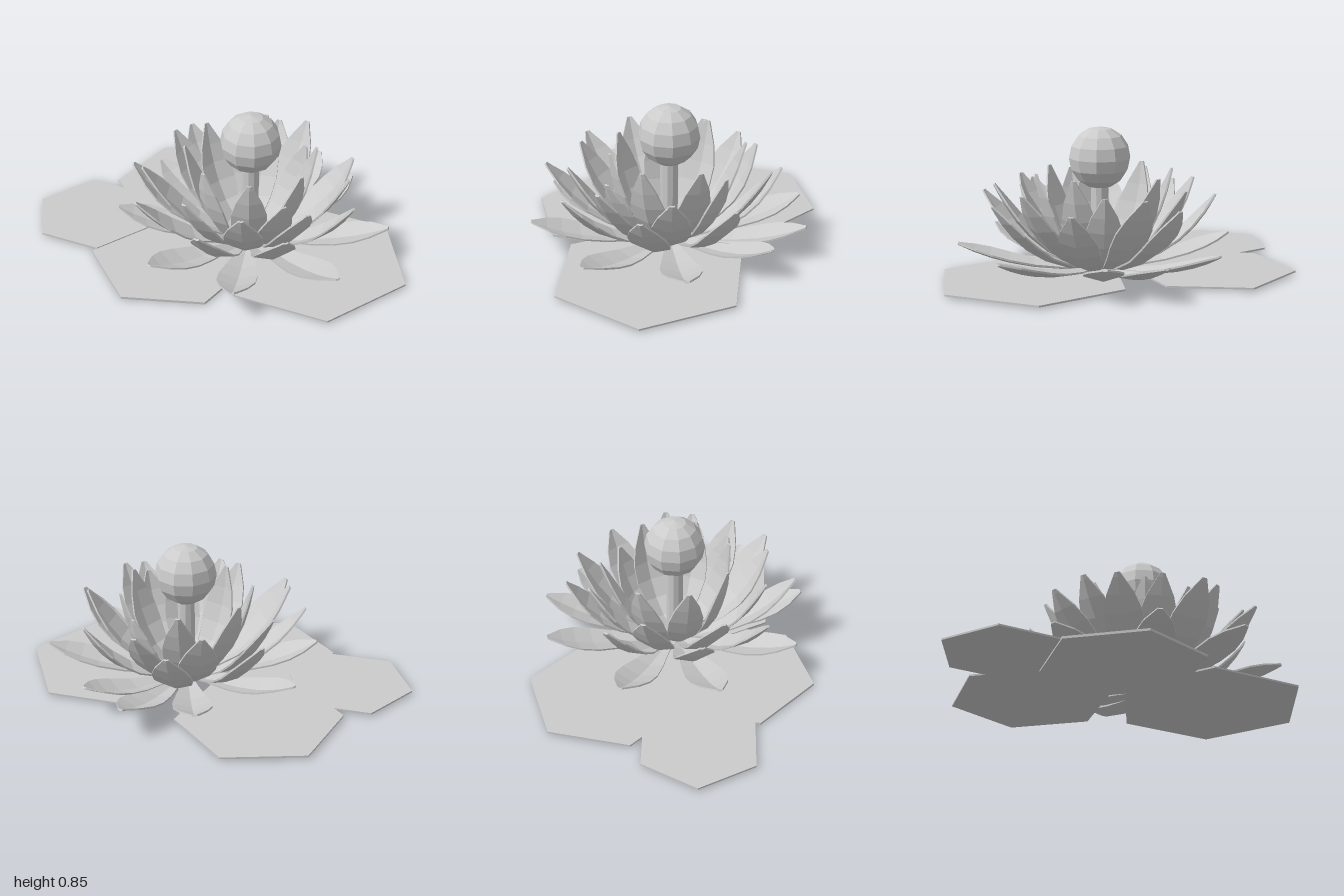
import * as THREE from 'three';

const material = new THREE.MeshStandardMaterial({ color: 0xcccccc, flatShading: true });

function add(parent, name, geometry, x = 0, y = 0, z = 0) {
  const mesh = new THREE.Mesh(geometry, material);
  mesh.name = name;
  mesh.position.set(x, y, z);
  parent.add(mesh);
  return mesh;
}

// Half-width of a petal along its length: [fraction of length, half-width]
const outline = [[0, 0.02], [0.2, 0.052], [0.4, 0.086], [0.58, 0.109], [0.73, 0.108], [0.86, 0.078], [0.97, 0.028], [1, 0.014]];
const THICK = 0.01;

// Thin, cupped petal along +x with a creased midrib, swept along a curve in the xy plane
function petalGeometry(reach, height, bendX, bendY, widthScale) {
  const curve = new THREE.QuadraticBezierCurve(
    new THREE.Vector2(0.03, 0.008), new THREE.Vector2(bendX, bendY), new THREE.Vector2(reach, height));
  const positions = [], index = [], n = 6;
  outline.forEach(([t, halfWidth]) => {
    const p = curve.getPoint(t), d = curve.getTangent(t), w = halfWidth * widthScale;
    const put = (side, lift) => positions.push(p.x - d.y * lift, p.y + d.x * lift, side);
    const cup = w * 0.28;
    [1, 0, -1].forEach(s => put(s * w, Math.abs(s) * cup + THICK));
    [-1, 0, 1].forEach(s => put(s * w, Math.abs(s) * cup));
  });
  const last = (outline.length - 1) * n;
  for (let i = 0; i < last; i += n) {
    for (let j = 0; j < n; j++) {
      const k = (j + 1) % n;
      index.push(i + j, i + n + j, i + n + k, i + j, i + n + k, i + k);
    }
  }
  // End caps
  for (const [a, b, c, d] of [[0, 1, 4, 5], [1, 2, 3, 4]]) {
    index.push(a, b, c, a, c, d);
    index.push(last + a, last + c, last + b, last + a, last + d, last + c);
  }
  const geometry = new THREE.BufferGeometry();
  geometry.setAttribute('position', new THREE.Float32BufferAttribute(positions, 3));
  geometry.setIndex(index);
  geometry.computeVertexNormals();
  return geometry;
}

// Petal rings from the outside in; each petal is [angle in degrees, reach]
const rings = [
  { name: 'outerPetal', height: 0.172, bend: [0.49, -0.004], width: 1,
    petals: [[36, 0.81], [78, 0.805], [122, 0.79], [161, 0.775], [207, 0.77], [250, 0.77], [298, 0.785], [328, 0.795], [352, 0.735]] },
  { name: 'middlePetal', height: 0.43, bend: [0.47, 0.04], width: 1,
    petals: [[8, 0.63], [56, 0.67], [99, 0.7], [139, 0.71], [179, 0.712], [213.5, 0.69], [262, 0.66], [311, 0.64]] },
  { name: 'upperPetal', height: 0.5, bend: [0.4, 0.055], width: 1,
    petals: [[41, 0.58], [83, 0.6], [120, 0.58], [156, 0.56], [200, 0.62], [244, 0.58], [292, 0.54], [330, 0.595]] },
  { name: 'innerPetal', height: 0.577, bend: [0.32, 0.075], width: 0.93,
    petals: [[16, 0.39], [66, 0.38], [116, 0.35], [165, 0.35], [214, 0.39], [256, 0.42], [307, 0.44]] },
  { name: 'fillerPetal', height: 0.488, bend: [0.34, 0.055], width: 0.93,
    petals: [[91, 0.46], [350, 0.4]] },
];

export function createModel() {
  const model = new THREE.Group();
  model.name = 'waterLily';

  // Hexagonal floating leaves: x, z, radius, turn in degrees, underside, thickness
  [
    [0.073, -0.527, 0.473, 0, 0.01, 0.01],
    [-0.592, -0.485, 0.362, 42, 0.01, 0.01],
    [-0.328, 0.105, 0.469, 0, 0, 0.014],
    [0.39, 0.463, 0.562, 41.8, 0.009, 0.01],
  ].forEach(([x, z, r, turn, bottom, thickness]) => {
    const pad = add(model, 'lilyPad', new THREE.CylinderGeometry(r, r, thickness, 6), x, bottom + thickness / 2, z);
    pad.rotation.y = THREE.MathUtils.degToRad(turn);
  });

  // Blossom
  const flower = new THREE.Group();
  flower.name = 'flower';
  flower.position.set(0.157, 0.02, 0.11);
  model.add(flower);
  for (const { name, height, bend, width, petals } of rings) {
    for (const [angle, reach] of petals) {
      const petal = add(flower, name, petalGeometry(reach, height, ...bend, width));
      petal.rotation.y = -THREE.MathUtils.degToRad(angle);
    }
  }

  // Stalk and ball in the middle
  add(flower, 'stalk', new THREE.CylinderGeometry(0.05, 0.05, 0.475, 10), 0, 0.2525, 0);
  add(flower, 'ball', new THREE.SphereGeometry(0.176, 10, 8), 0, 0.65, 0);
  return model;
}
